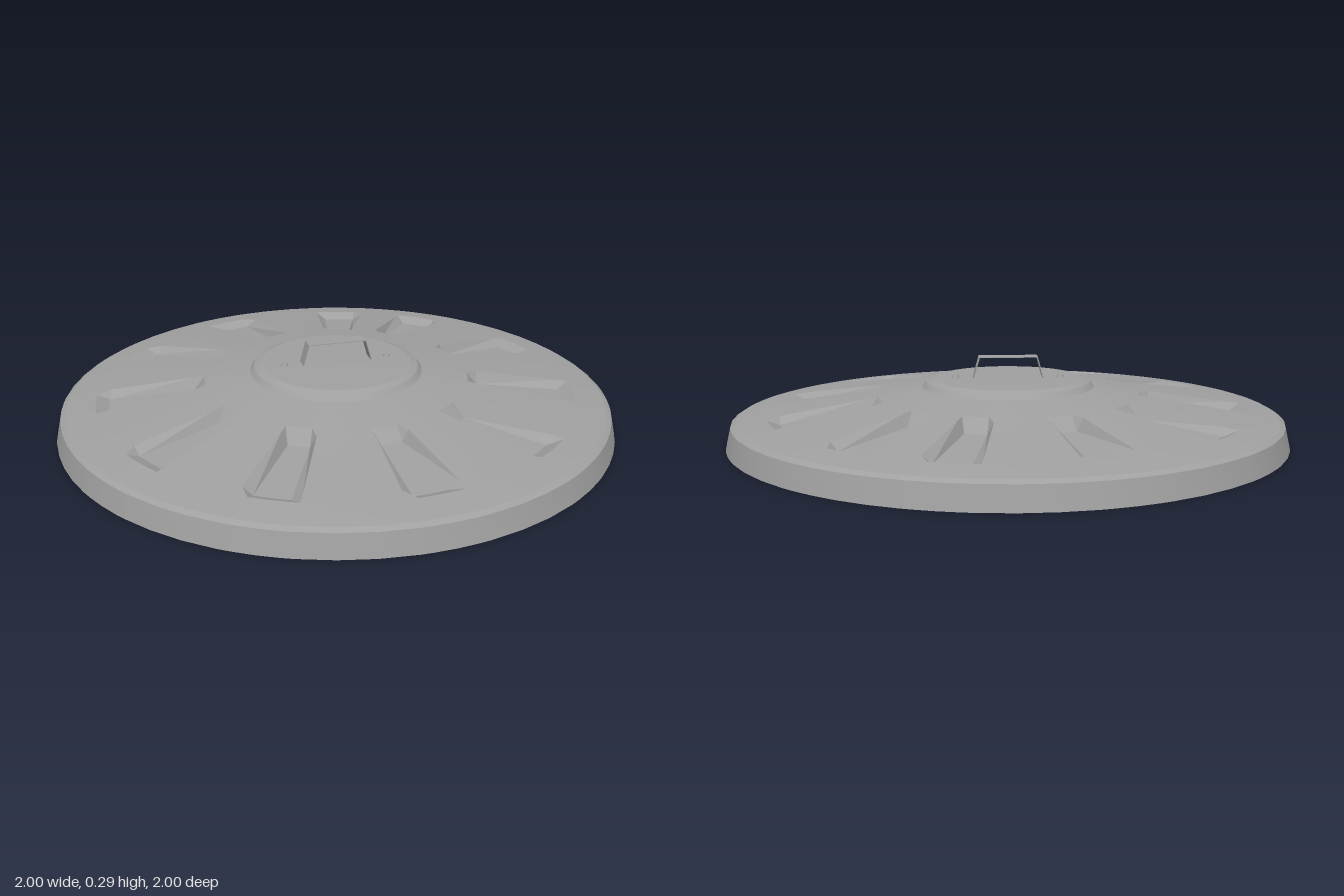
import * as THREE from 'three';
import { toCreasedNormals } from 'three/addons/utils/BufferGeometryUtils.js';

const darkGrey = new THREE.MeshStandardMaterial({ color: 0xa0a0a0, side: THREE.DoubleSide });
const RAD = Math.PI / 180;

// Profile of the thin shell, from the centre out: [radius, height, pocket depth]
const PROFILE = [
  [0, 0.212, 0], [0.27, 0.21, 0], [0.295, 0.201, 0], [0.31, 0.183, 0],
  [0.475, 0.159, 0], [0.515, 0.153, 0.042], [0.815, 0.109, 0.025], [0.86, 0.103, 0],
  [0.965, 0.087, 0], [0.982, 0.077, 0], [1, 0, 0],
];

// Directions of the pressed pockets, in degrees from +x towards -z
const POCKETS = [-118, -84, -51, -16.5, 17, 50.5, 74.5, 107.5, 141, 174, 209];
const OUTER = 6.6, INNER = 4.2; // half angles of pocket mouth and floor

// Columns of the shell: pocket edges and floors, with even steps between pockets
function columns() {
  const list = [];
  POCKETS.forEach((a, i) => {
    const next = i + 1 < POCKETS.length ? POCKETS[i + 1] : POCKETS[0] + 360;
    list.push([a - OUTER, 0], [a - INNER, 1], [a, 1], [a + INNER, 1], [a + OUTER, 0]);
    const start = a + OUTER, gap = next - OUTER - start, steps = Math.max(2, Math.round(gap / 6));
    for (let k = 1; k < steps; k++) list.push([start + gap * k / steps, 0]);
  });
  return list;
}

function shellGeometry() {
  const cols = columns(), rows = PROFILE.length, pos = [], index = [];
  for (const [deg, inside] of cols) {
    for (const [r, y, depth] of PROFILE) {
      pos.push(r * Math.cos(deg * RAD), y - inside * depth, -r * Math.sin(deg * RAD));
    }
  }
  for (let c = 0; c < cols.length; c++) {
    const n = (c + 1) % cols.length;
    for (let r = 0; r < rows - 1; r++) {
      const a = c * rows + r, b = n * rows + r;
      index.push(a, a + 1, b + 1);
      if (r > 0) index.push(a, b + 1, b);
    }
  }
  const geo = new THREE.BufferGeometry();
  geo.setAttribute('position', new THREE.Float32BufferAttribute(pos, 3));
  geo.setIndex(index);
  return toCreasedNormals(geo, 0.3);
}

function add(group, name, geometry, x = 0, y = 0, z = 0) {
  const mesh = new THREE.Mesh(geometry, darkGrey);
  mesh.name = name;
  mesh.position.set(x, y, z);
  group.add(mesh);
}

export function createModel() {
  const group = new THREE.Group();
  group.name = 'lid';

  // Shell with raised centre, pockets and turned-down rim, open below
  add(group, 'lidShell', shellGeometry());

  // Handle: a thin strap bent into a trapezoid
  const t = 0.003;
  const strap = new THREE.Shape([
    [-0.127, 0.212], [-0.106, 0.289], [0.106, 0.289], [0.127, 0.212],
    [0.127 - t, 0.212], [0.106 - t, 0.289 - t], [-0.106 + t, 0.289 - t], [-0.127 + t, 0.212],
  ].map(([x, y]) => new THREE.Vector2(x, y)));
  add(group, 'handle', new THREE.ExtrudeGeometry(strap, { depth: 0.054, bevelEnabled: false }), 0, 0, -0.027);

  // Rivets either side of the handle
  for (const side of [-1, 1]) {
    add(group, side > 0 ? 'leftRivet' : 'rightRivet',
      new THREE.CylinderGeometry(0.01, 0.014, 0.01, 10), side * 0.19, 0.216, 0);
  }
  return group;
}
